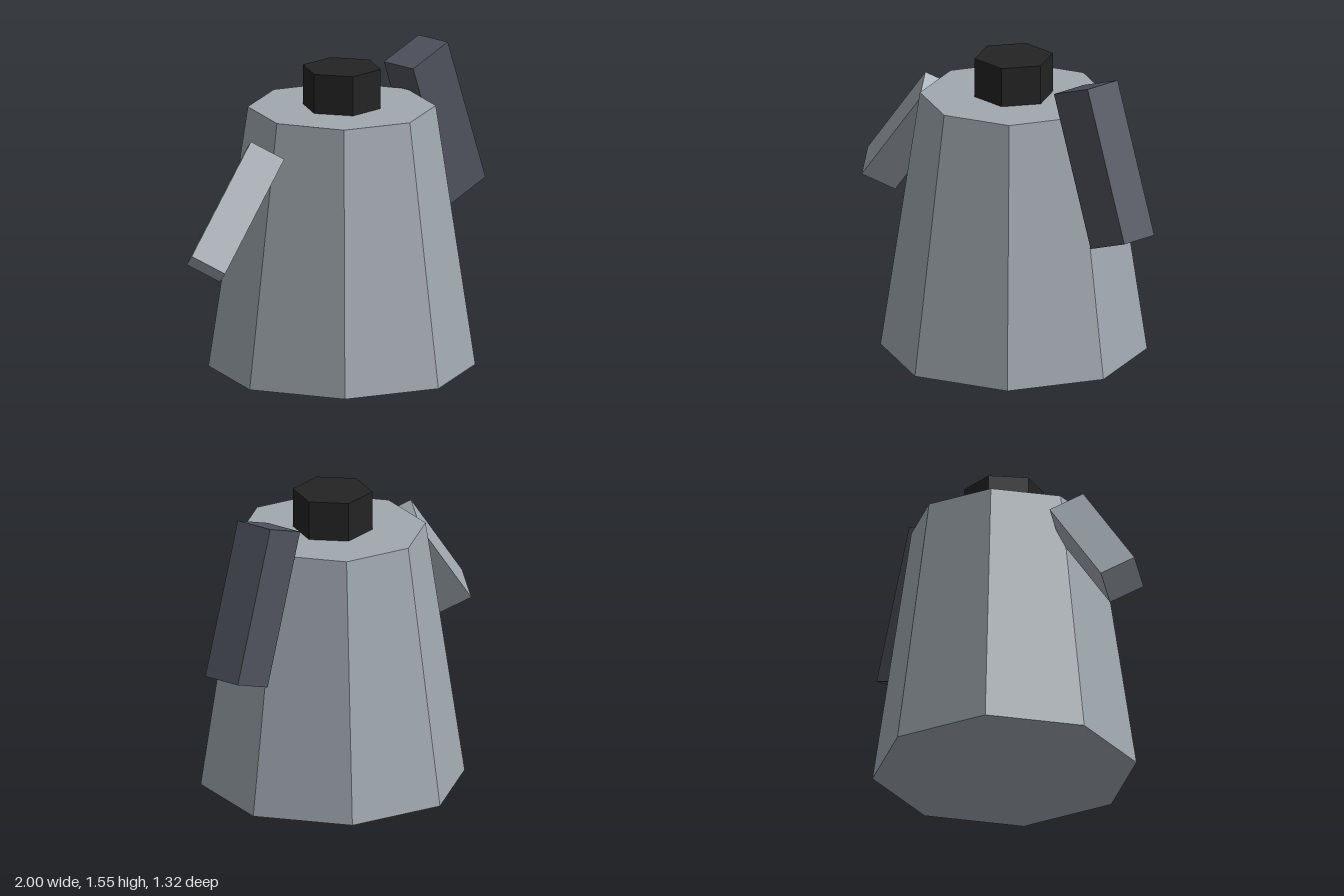
import * as THREE from 'three';

const material = (name, color) => {
  const m = new THREE.MeshStandardMaterial({ color, flatShading: true });
  m.name = name;
  return m;
};

export function createModel() {
  const group = new THREE.Group();
  const steel = material('steel', 0xa0a8af);
  const darkGrey = material('dark grey', 0x4f525d);
  const black = material('black', 0x232323);

  const add = (name, geometry, mat, x, y, tilt = 0) => {
    const mesh = new THREE.Mesh(geometry, mat);
    mesh.name = name;
    mesh.position.set(x, y, 0);
    mesh.rotation.z = THREE.MathUtils.degToRad(tilt);
    group.add(mesh);
  };

  // Tapered eight-sided pot, with a corner facing front
  add('body', new THREE.CylinderGeometry(0.465, 0.66, 1.325, 8), steel, 0.075, 0.6625);

  // Six-sided knob on the lid, corners to the sides
  add('knob', new THREE.CylinderGeometry(0.198, 0.198, 0.2, 6, 1, false, Math.PI / 2), black, 0.075, 1.425);

  // Square spout, edge on to the front, rising into the body
  add('spout', new THREE.CylinderGeometry(0.132, 0.132, 0.66, 4), steel, -0.687, 0.93, -40);

  // Slanted block handle
  add('handle', new THREE.BoxGeometry(0.264, 0.79, 0.2), darkGrey, 0.74, 1.13, 20);

  return group;
}
